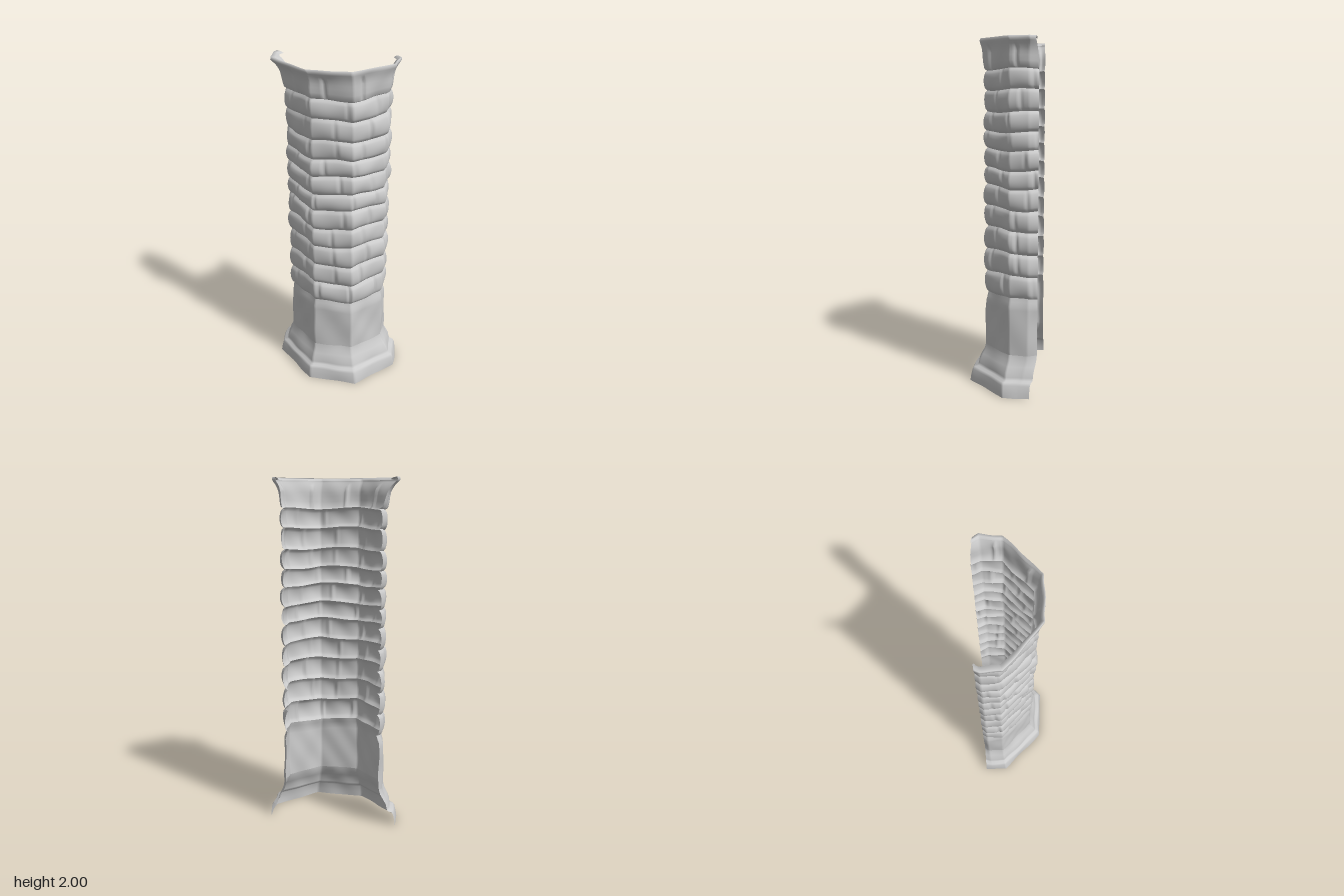
import * as THREE from 'three';

// Plan outlines [x, z], running from the right-hand end round the front to the left-hand end
const WALL = [[-0.262, -0.222], [-0.285, -0.2], [-0.295, -0.105], [-0.15, 0.105], [0.075, 0.145], [0.265, 0.015], [0.29, -0.09], [0.278, -0.145]];
const BASE = [[-0.36, -0.235], [-0.366, -0.2], [-0.383, -0.1], [-0.185, 0.18], [0.1, 0.238], [0.355, 0.06], [0.37, -0.03], [0.382, -0.092]];
const RIM = [[-0.34, -0.225], [-0.356, -0.2], [-0.37, -0.1], [-0.17, 0.132], [0.068, 0.174], [0.3, 0.02], [0.335, -0.09], [0.315, -0.125]];
const STEPS = [3, 12, 28, 26, 26, 14, 7]; // columns per facet

// Bed joints between the brick courses
const JOINTS = [0.55, 0.68, 0.81, 0.94, 1.06, 1.18, 1.28, 1.39, 1.49, 1.6, 1.72, 1.83];

function seeded(seed) {
  let s = seed;
  return () => (s = (s * 16807) % 2147483647) / 2147483647;
}

// Column stations: facet index, fraction, and distance along the wall
const stations = [];
let run = 0;
STEPS.forEach((n, k) => {
  const len = Math.hypot(WALL[k + 1][0] - WALL[k][0], WALL[k + 1][1] - WALL[k][1]);
  for (let i = 0; i < n; i++) stations.push({ k, t: i / n, s: run + (len * i) / n });
  run += len;
});
stations.push({ k: STEPS.length - 1, t: 1, s: run });

function along(outline, { k, t }) {
  const a = outline[k], b = outline[k + 1];
  return [a[0] + (b[0] - a[0]) * t, a[1] + (b[1] - a[1]) * t];
}

// Worn, uneven stone
function wear(s, y) {
  return 0.0025 * Math.sin(s * 23 + y * 17) + 0.002 * Math.sin(s * 41 - y * 29 + 1.3);
}

// rows: [{ y, mix, outline, push(s) }] -> open sheet following the plan
function sheet(name, rows) {
  const pos = [], index = [], w = stations.length;
  rows.forEach(({ y, mix = 0, outline = BASE, push }, j) => {
    stations.forEach((st, i) => {
      const a = along(WALL, st), b = along(outline, st);
      let x = a[0] + (b[0] - a[0]) * mix, z = a[1] + (b[1] - a[1]) * mix;
      const r = Math.hypot(x, z + 0.13);
      const d = wear(st.s, y) + (push ? push(st.s) : 0);
      x += (x / r) * d;
      z += ((z + 0.13) / r) * d;
      // beds wander slightly, the top and bottom stay level
      const free = THREE.MathUtils.smoothstep(y, 0.1, 0.5) * (1 - THREE.MathUtils.smoothstep(y, 1.8, 1.97));
      pos.push(x, y + free * 0.007 * Math.sin(st.s * 13 + y * 5), z);
      if (i < w - 1 && j < rows.length - 1) {
        const p = j * w + i;
        index.push(p, p + 1, p + w, p + 1, p + w + 1, p + w);
      }
    });
  });
  const geo = new THREE.BufferGeometry();
  geo.setAttribute('position', new THREE.Float32BufferAttribute(pos, 3));
  geo.setIndex(index);
  geo.computeVertexNormals();
  const mesh = new THREE.Mesh(geo, new THREE.MeshStandardMaterial({ color: 0xcccccc, roughness: 0.9, side: THREE.DoubleSide }));
  mesh.name = name;
  return mesh;
}

// One course of pillowed bricks with staggered upright joints
function course(y0, y1, n) {
  const rand = seeded(911 + n * 577);
  rand();
  const bricks = [];
  for (let s = n % 2 ? -0.1 : -0.02; s < run;) {
    const end = s + 0.15 + rand() * 0.08;
    bricks.push({ a: s, b: end, out: (rand() - 0.5) * 0.011 });
    s = end;
  }
  const rows = [], N = 10;
  for (let j = 0; j <= N; j++) {
    const v = j / N;
    const bulge = Math.pow(Math.sin(Math.PI * v), 0.5) || 0;
    rows.push({
      y: y0 + (y1 - y0) * v,
      push(s) {
        const br = bricks.find((q) => s <= q.b) || bricks[bricks.length - 1];
        const edge = Math.min(1, Math.min(s - br.a, br.b - s) / 0.016);
        return -0.013 + bulge * (0.012 + (0.009 + br.out) * Math.max(0, edge));
      },
    });
  }
  return sheet('brickCourse' + n, rows);
}

export function createModel() {
  const model = new THREE.Group();
  model.name = 'halfColumn';

  // Stepped foot with a splayed top
  model.add(sheet('plinth', [
    [0, 1], [0.03, 0.98], [0.07, 0.9], [0.085, 0.8], [0.09, 0.58], [0.105, 0.52],
    [0.13, 0.47], [0.16, 0.3], [0.19, 0.12], [0.22, 0.04],
  ].map(([y, mix]) => ({ y, mix }))));

  // Plain rendered lower shaft
  const plain = [];
  for (let j = 0; j <= 14; j++) {
    const y = 0.22 + (0.33 * j) / 14;
    const near = THREE.MathUtils.smoothstep(y, 0.5, 0.55);
    plain.push({ y, mix: 0.04 * (1 - j / 14), push: () => -0.013 * near });
  }
  model.add(sheet('lowerShaft', plain));

  // Brickwork
  const bricks = new THREE.Group();
  bricks.name = 'brickwork';
  for (let n = 0; n < JOINTS.length - 1; n++) bricks.add(course(JOINTS[n], JOINTS[n + 1], n));
  model.add(bricks);

  // Flared cap with a thin turned lip
  const upright = (s) => -0.012 * Math.exp(-Math.pow(((s + 0.06) % 0.21 - 0.1) / 0.008, 2));
  model.add(sheet('cornice', [
    [1.83, 0, -0.013], [1.84, 0.05, 0], [1.87, 0.1, 0.004], [1.9, 0.18, 0.004], [1.92, 0.28, 0.002],
    [1.94, 0.45, 0], [1.96, 0.65, 0], [1.975, 0.88, 0], [1.985, 1, 0], [2, 0.98, 0], [1.995, 0.7, 0], [1.985, 0.5, 0],
  ].map(([y, mix, d]) => ({ y, mix, outline: RIM, push: (s) => d + (y > 1.835 && y < 1.95 ? upright(s) : 0) }))));

  return model;
}
